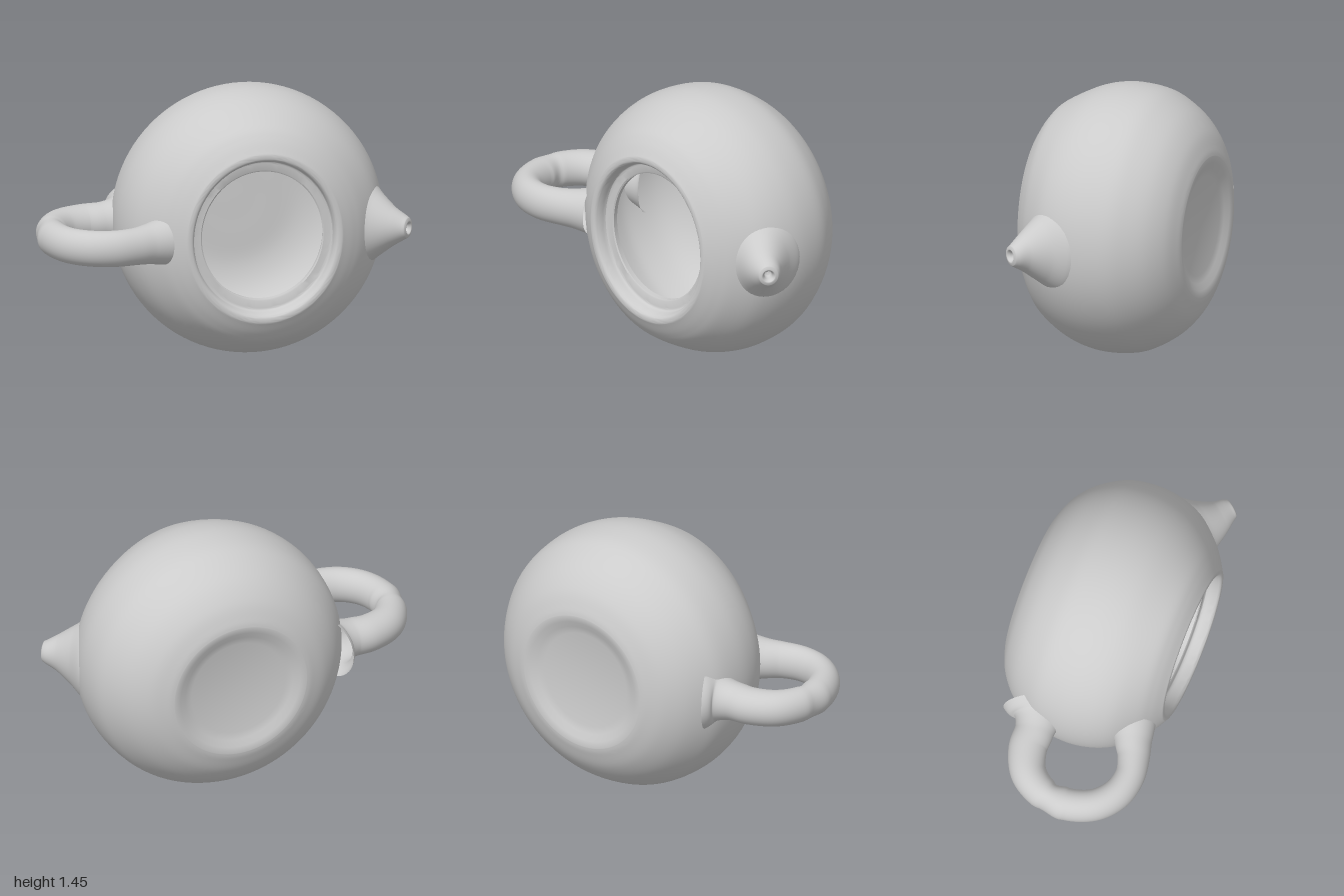
import * as THREE from 'three';
import { toCreasedNormals } from 'three/addons/utils/BufferGeometryUtils.js';

const CX = 0.17, CY = 0.725;
const material = new THREE.MeshStandardMaterial({ color: 0xcccccc, side: THREE.DoubleSide });

const spline = (pts, n) =>
  new THREE.SplineCurve(pts.map(([r, z]) => new THREE.Vector2(r, z))).getPoints(n);

// Lathe around z, with the mouth narrowed in x to a slight oval
function turned(name, points) {
  const geo = new THREE.LatheGeometry(points, 96);
  geo.rotateX(Math.PI / 2);
  const pos = geo.attributes.position;
  for (let i = 0; i < pos.count; i++) {
    const k = THREE.MathUtils.smoothstep(pos.getZ(i), 0.2, 0.42);
    pos.setX(i, pos.getX(i) * (1 - 0.09 * k));
  }
  const mesh = new THREE.Mesh(toCreasedNormals(geo, 0.6), material);
  mesh.name = name;
  mesh.position.set(CX, CY, 0);
  return mesh;
}

// Elliptical loft in the plane y = const; sections are [x, z, radius in plane, radius in y]
function loft(name, y, sections, steps, fixedNormal) {
  const path = new THREE.CatmullRomCurve3(sections.map(([x, z]) => new THREE.Vector3(x, y, z)));
  const radii = new THREE.CatmullRomCurve3(sections.map(([, , a, b]) => new THREE.Vector3(a, b, 0)));
  const sides = 40, verts = [], index = [];
  for (let i = 0; i <= steps; i++) {
    const c = path.getPoint(i / steps), r = radii.getPoint(i / steps);
    const t = path.getTangent(i / steps);
    const n = fixedNormal || new THREE.Vector3(t.z, 0, -t.x);
    for (let j = 0; j < sides; j++) {
      const a = (j / sides) * Math.PI * 2, p = Math.cos(a) * r.x;
      verts.push(c.x + n.x * p, c.y + Math.sin(a) * r.y, c.z + n.z * p);
      if (i < steps) {
        const k = i * sides + j, m = i * sides + ((j + 1) % sides);
        index.push(k, m, k + sides, m, m + sides, k + sides);
      }
    }
  }
  const geo = new THREE.BufferGeometry();
  geo.setAttribute('position', new THREE.Float32BufferAttribute(verts, 3));
  geo.setIndex(index);
  geo.computeVertexNormals();
  const mesh = new THREE.Mesh(geo, material);
  mesh.name = name;
  return mesh;
}

export function createModel() {
  const group = new THREE.Group();
  group.name = 'teapot';

  // Round outer body with a shallow recess in its base
  const base = [[0, -0.455], [0.27, -0.455], [0.31, -0.465], [0.345, -0.483]]
    .map(([r, z]) => new THREE.Vector2(r, z));
  group.add(turned('body', [...base, ...spline([
    [0.38, -0.49], [0.42, -0.48], [0.51, -0.44], [0.6, -0.365], [0.67, -0.265], [0.71, -0.17],
    [0.725, -0.04], [0.715, 0.07], [0.68, 0.18], [0.6, 0.325], [0.54, 0.385], [0.475, 0.425]], 60)]));

  // Lip and the step that seats a lid
  group.add(turned('rim', [
    ...spline([[0.475, 0.425], [0.46, 0.432], [0.435, 0.43], [0.422, 0.415]], 10),
    ...spline([[0.418, 0.38], [0.41, 0.36], [0.395, 0.355]], 6),
    new THREE.Vector2(0.36, 0.355), new THREE.Vector2(0.352, 0.35), new THREE.Vector2(0.352, 0.32)]));

  // Hollow inside
  group.add(turned('cavity', spline([
    [0.352, 0.32], [0.42, 0.31], [0.53, 0.26], [0.6, 0.16], [0.64, 0.03], [0.645, -0.08],
    [0.6, -0.24], [0.5, -0.35], [0.36, -0.405], [0.18, -0.41], [0, -0.41]], 50)));

  // Loop handle, flared where it meets the body
  group.add(loft('handle', 0.71, [
    [-0.45, -0.21, 0.18, 0.17], [-0.51, -0.18, 0.13, 0.125], [-0.6, -0.165, 0.105, 0.104],
    [-0.7, -0.16, 0.103, 0.1], [-0.83, -0.1, 0.096, 0.098], [-0.905, 0.02, 0.086, 0.096],
    [-0.913, 0.15, 0.086, 0.096], [-0.86, 0.29, 0.084, 0.096], [-0.76, 0.375, 0.082, 0.097],
    [-0.64, 0.402, 0.08, 0.098], [-0.53, 0.38, 0.086, 0.1], [-0.45, 0.345, 0.1, 0.108],
    [-0.37, 0.31, 0.12, 0.125]], 100));

  // Tapered spout, ending in a small hole
  group.add(loft('spout', 0.715, [
    [0.755, 0.15, 0.21, 0.25], [0.785, 0.175, 0.19, 0.225], [0.83, 0.22, 0.14, 0.175],
    [0.9, 0.28, 0.09, 0.105], [0.955, 0.31, 0.063, 0.066], [0.97, 0.322, 0.052, 0.054],
    [0.974, 0.326, 0.036, 0.036], [0.962, 0.316, 0.024, 0.024], [0.93, 0.292, 0.018, 0.018],
    [0.925, 0.288, 0, 0]], 90, new THREE.Vector3(0.6, 0, -0.8)));

  return group;
}
